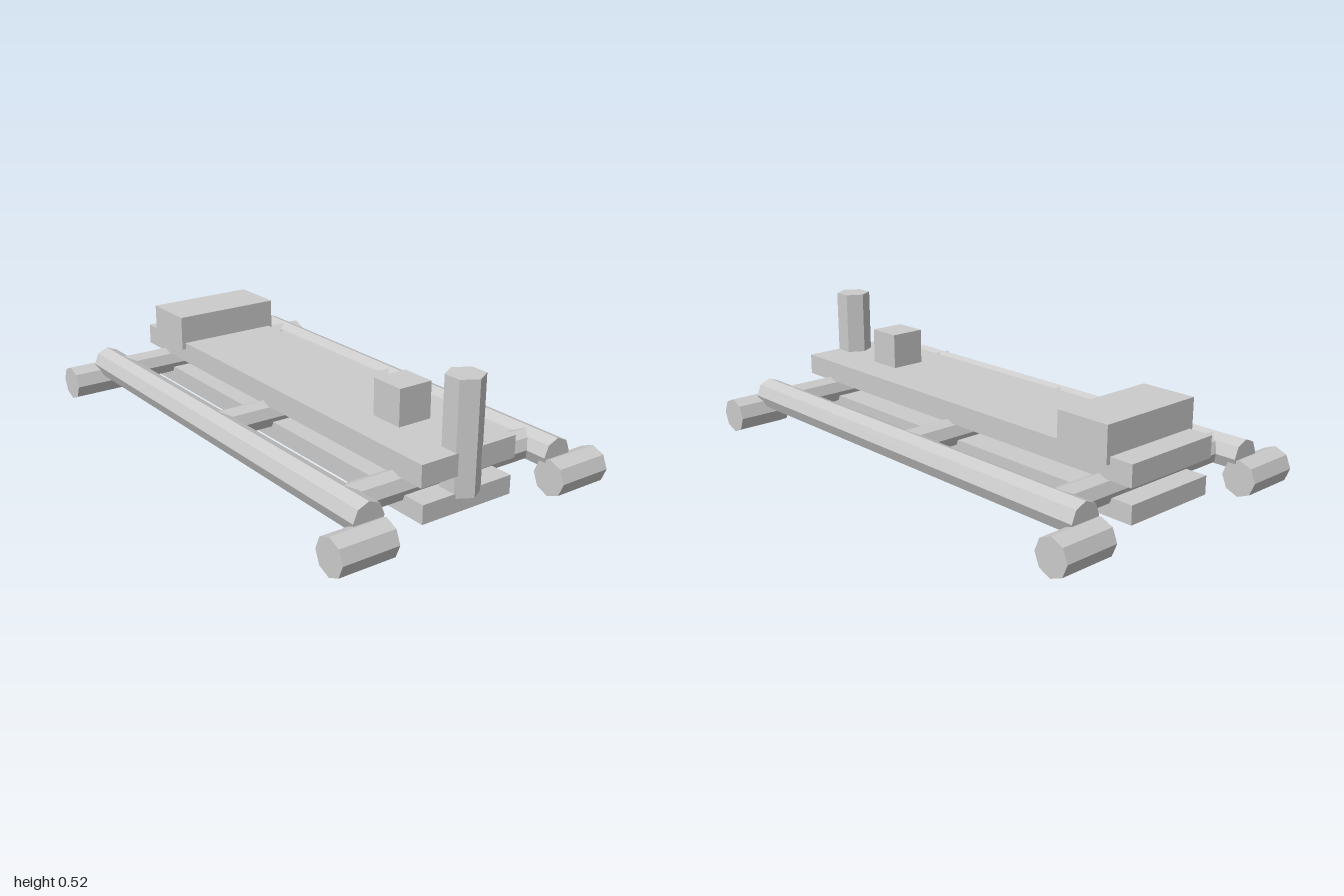
import * as THREE from 'three';

const material = new THREE.MeshStandardMaterial({ color: 0xcccccc, flatShading: true });

function add(group, name, geometry, x, y, z) {
  const mesh = new THREE.Mesh(geometry, material);
  mesh.name = name;
  mesh.position.set(x, y, z);
  group.add(mesh);
  return mesh;
}

// Box given by its limits on each axis
function addBox(group, name, [x0, x1], [y0, y1], [z0, z1]) {
  return add(group, name, new THREE.BoxGeometry(x1 - x0, y1 - y0, z1 - z0),
    (x0 + x1) / 2, (y0 + y1) / 2, (z0 + z1) / 2);
}

// Eight-sided bars lying along x or z
const barX = (radius, length) => new THREE.CylinderGeometry(radius, radius, length, 8).rotateZ(Math.PI / 2);
const barZ = (radius, length) => new THREE.CylinderGeometry(radius, radius, length, 8).rotateX(Math.PI / 2);

export function createModel() {
  const model = new THREE.Group();
  model.name = 'sledgeChassis';

  // Upper deck and belly plate
  addBox(model, 'deck', [-0.211, 0.207], [0.185, 0.268], [-0.916, 0.912]);
  addBox(model, 'bellyPlate', [-0.199, 0.197], [0.051, 0.122], [-0.912, 0.91]);

  // Side rails, with a roller at each end
  for (const side of [-1, 1]) {
    const label = side > 0 ? 'left' : 'right';
    add(model, label + 'Rail', barZ(0.0625, 1.826), side * 0.422, 0.14, -0.002);
    for (const end of [-1, 1]) {
      add(model, label + (end > 0 ? 'Front' : 'Rear') + 'Roller',
        barX(0.07, 0.223), side * 0.479, 0.07, end * 0.93);
    }
  }

  // Cross bars between the rails
  for (const z of [-0.776, -0.003, 0.77]) {
    add(model, 'crossBar', barX(0.057, 0.84), 0, 0.141, z);
  }

  // Fittings on the deck
  addBox(model, 'rearBox', [-0.227, 0.223], [0.241, 0.381], [-0.82, -0.595]);
  addBox(model, 'smallBox', [-0.072, 0.07], [0.262, 0.409], [0.493, 0.633]);
  add(model, 'frontPost', new THREE.CylinderGeometry(0.07, 0.07, 0.418, 6), -0.001, 0.313, 0.872);

  return model;
}
